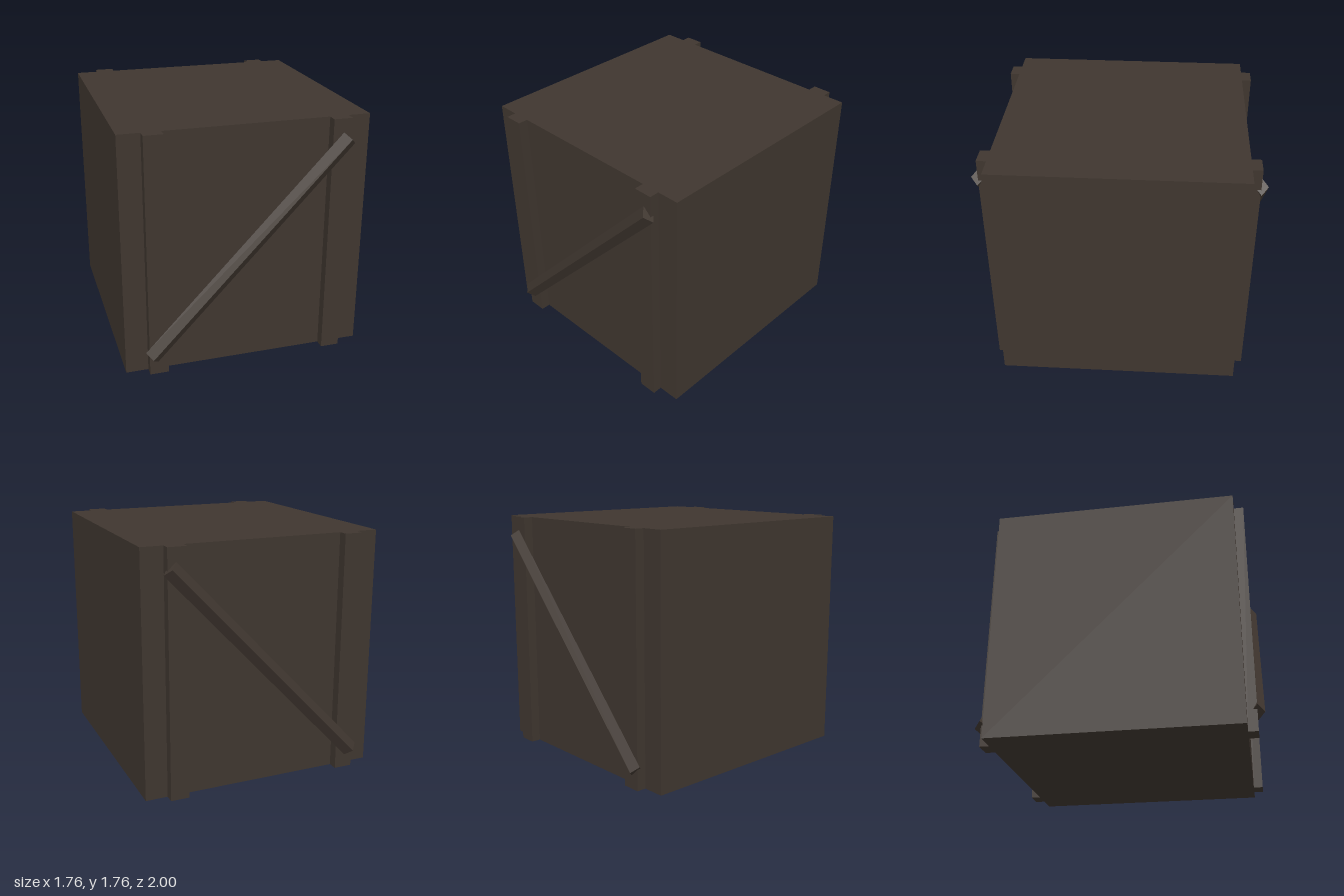
import * as THREE from 'three';

const SIZE = 1.76;      // crate width and depth
const HEIGHT = 1.765;

export function createModel() {
  const model = new THREE.Group();
  model.name = 'crate';
  const wood = new THREE.MeshStandardMaterial({ color: 0x3f362f });
  wood.name = 'dark wood';

  const add = (name, geometry, x, y, z) => {
    const mesh = new THREE.Mesh(geometry, wood);
    mesh.name = name;
    mesh.position.set(x, y, z);
    model.add(mesh);
    return mesh;
  };

  // Main block
  add('body', new THREE.BoxGeometry(SIZE, HEIGHT, SIZE), 0, HEIGHT / 2, 0);

  // Diamond-section bar with flat faces
  const bar = new THREE.CylinderGeometry(1, 1, 2.048, 4).toNonIndexed();
  bar.scale(0.06, 1, 0.0475);
  bar.computeVertexNormals();

  const post = new THREE.BoxGeometry(0.135, HEIGHT, 0.07);
  for (const [end, s] of [['front', 1], ['back', -1]]) {
    // Upright battens
    add(end + 'LeftPost', post, 0.6525, HEIGHT / 2, s * 0.915);
    add(end + 'RightPost', post, -0.6525, HEIGHT / 2, s * 0.915);
    // Diagonal brace, rising towards +x on both ends
    add(end + 'Brace', bar, 0, 0.883, s * 0.9525).rotation.z = -Math.atan2(1.4075, 1.4875);
  }
  return model;
}
